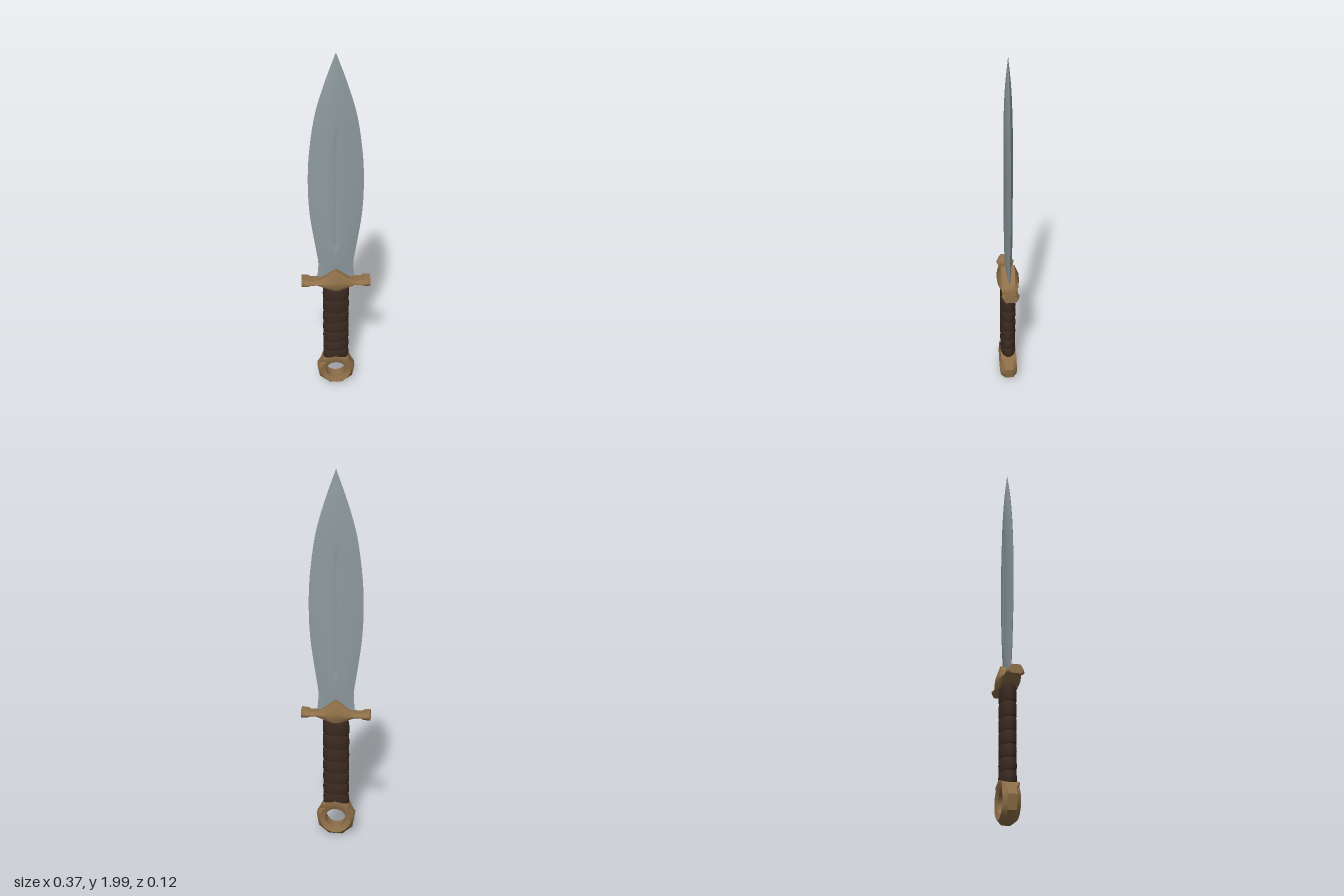
import * as THREE from 'three';
import { toCreasedNormals } from 'three/addons/utils/BufferGeometryUtils.js';

const steel = new THREE.MeshStandardMaterial({ color: 0x8f9b9f });
steel.name = 'steel';
const bronze = new THREE.MeshStandardMaterial({ color: 0x8f7049 });
bronze.name = 'bronze';
const leather = new THREE.MeshStandardMaterial({ color: 0x3b2a21 });
leather.name = 'leather';

// Joins rows of points (all of equal length) into a surface.
function loft(rows, closed) {
  const n = rows[0].length, index = [];
  for (let i = 0; i < rows.length - 1; i++) {
    for (let j = 0; j < (closed ? n : n - 1); j++) {
      const k = (j + 1) % n;
      const a = i * n + j, b = i * n + k, c = (i + 1) * n + k, d = (i + 1) * n + j;
      index.push(a, b, c, a, c, d);
    }
  }
  const g = new THREE.BufferGeometry();
  g.setAttribute('position', new THREE.Float32BufferAttribute(rows.flat(2), 3));
  g.setIndex(index);
  g.computeVertexNormals();
  return g;
}

function part(name, geometry, material) {
  const mesh = new THREE.Mesh(geometry, material);
  mesh.name = name;
  return mesh;
}

// Leaf-shaped blade: one lens-shaped side with a narrow central groove.
function bladeSide(side) {
  const outline = new THREE.CatmullRomCurve3([ // half width, height, half thickness
    [0.1, 0.75, 0.009], [0.094, 0.84, 0.017], [0.104, 0.92, 0.02], [0.119, 1.02, 0.021],
    [0.135, 1.15, 0.021], [0.141, 1.3, 0.021], [0.134, 1.47, 0.021], [0.102, 1.69, 0.02],
    [0.055, 1.85, 0.014], [0, 2, 0],
  ].map((p) => new THREE.Vector3(...p)));
  const rows = outline.getPoints(54).map(({ x: w, y, z: t }) => {
    const groove = THREE.MathUtils.smoothstep(y, 0.92, 0.97)
      * (1 - THREE.MathUtils.smoothstep(y, 1.56, 1.62));
    const g = Math.min(0.012, w * 0.12);
    const xs = [-w, -0.8 * w, -0.55 * w, -0.3 * w, -g, -0.4 * g, 0.4 * g, g,
      0.3 * w, 0.55 * w, 0.8 * w, w];
    return xs.map((x) => {
      const u = w > 0 ? x / w : 0;
      const dip = Math.abs(x) < 0.5 * g ? 0.006 * groove : 0;
      return [side * x, y, side * (t * (1 - u * u) - dip) - 0.002];
    });
  });
  return loft(rows, false);
}

// Crossguard: bevelled sections swept from one tip to the other.
function guardGeometry() {
  const half = [ // x, bottom, top, half depth
    [0, 0.688, 0.812, 0.059], [0.025, 0.692, 0.793, 0.058], [0.055, 0.702, 0.768, 0.054],
    [0.09, 0.714, 0.746, 0.047], [0.105, 0.717, 0.739, 0.042], [0.135, 0.716, 0.738, 0.042],
    [0.152, 0.711, 0.745, 0.048], [0.185, 0.705, 0.752, 0.035],
  ];
  const stations = [
    ...half.slice(1).reverse().map(([x, ...rest]) => [-x, ...rest]), ...half];
  const section = [[-0.62, 1], [0.62, 1], [1, 0.5], [1, 0.25], [0.8, 0],
    [-0.8, 0], [-1, 0.25], [-1, 0.5]];
  const rows = stations.map(([x, lo, hi, d]) =>
    section.map(([z, y]) => [x, lo + (hi - lo) * y, z * d]));
  const cap = (x) => section.map(() => [x, 0.728, 0]);
  return toCreasedNormals(loft([cap(-0.185), ...rows, cap(0.185)], true), 0.6);
}

// Oval grip wrapped in overlapping leather bands.
function gripGeometry() {
  const seams = [0.195, 0.26, 0.325, 0.39, 0.458, 0.53, 0.61, 0.685];
  const profile = [];
  for (let i = 0; i < seams.length - 1; i++) {
    const a = seams[i], b = seams[i + 1];
    profile.push([0.067, a], [0.071, a + 0.007], [0.072, (a + b) / 2], [0.07, b - 0.006]);
  }
  profile.push([0.067, 0.69], [0.06, 0.71]);
  const g = new THREE.LatheGeometry(profile.map((p) => new THREE.Vector2(...p)), 24);
  g.scale(1, 1, 0.6);
  // Slight slant of the wrapping
  const p = g.attributes.position;
  for (let i = 0; i < p.count; i++) p.setY(i, p.getY(i) + 0.05 * p.getX(i));
  return toCreasedNormals(g, 0.5);
}

// Ring pommel: nine-sided outside, round hole, widened where it meets the grip.
function pommelGeometry() {
  const profile = [[0.057, -0.034], [0.085, -0.045], [0.108, -0.022], [0.108, 0.022],
    [0.085, 0.045], [0.057, 0.034], [0.057, -0.034]];
  const g = new THREE.LatheGeometry(profile.map((p) => new THREE.Vector2(...p)), 18);
  g.rotateX(-Math.PI / 2);
  const p = g.attributes.position;
  for (let i = 0; i < p.count; i++) {
    const x = p.getX(i), y = p.getY(i);
    if (Math.hypot(x, y) < 0.1) continue;
    // Flatten every second spoke so that the rim has nine straight sides
    const spoke = Math.round(Math.atan2(x, y) / (Math.PI / 9));
    const k = spoke % 2 ? Math.cos(Math.PI / 9) : 1;
    p.setXY(i, x * k, y * k);
    if (y > 0.07) p.setZ(i, Math.sign(p.getZ(i)) * 0.044);
  }
  g.translate(0, 0.114, 0);
  return toCreasedNormals(g, 0.6);
}

export function createModel() {
  const model = new THREE.Group();
  model.name = 'dagger';

  const blade = new THREE.Group();
  blade.name = 'blade';
  blade.add(part('bladeFront', bladeSide(1), steel), part('bladeBack', bladeSide(-1), steel));

  model.add(
    blade,
    part('crossguard', guardGeometry(), bronze),
    part('grip', gripGeometry(), leather),
    part('pommelRing', pommelGeometry(), bronze),
  );
  return model;
}
